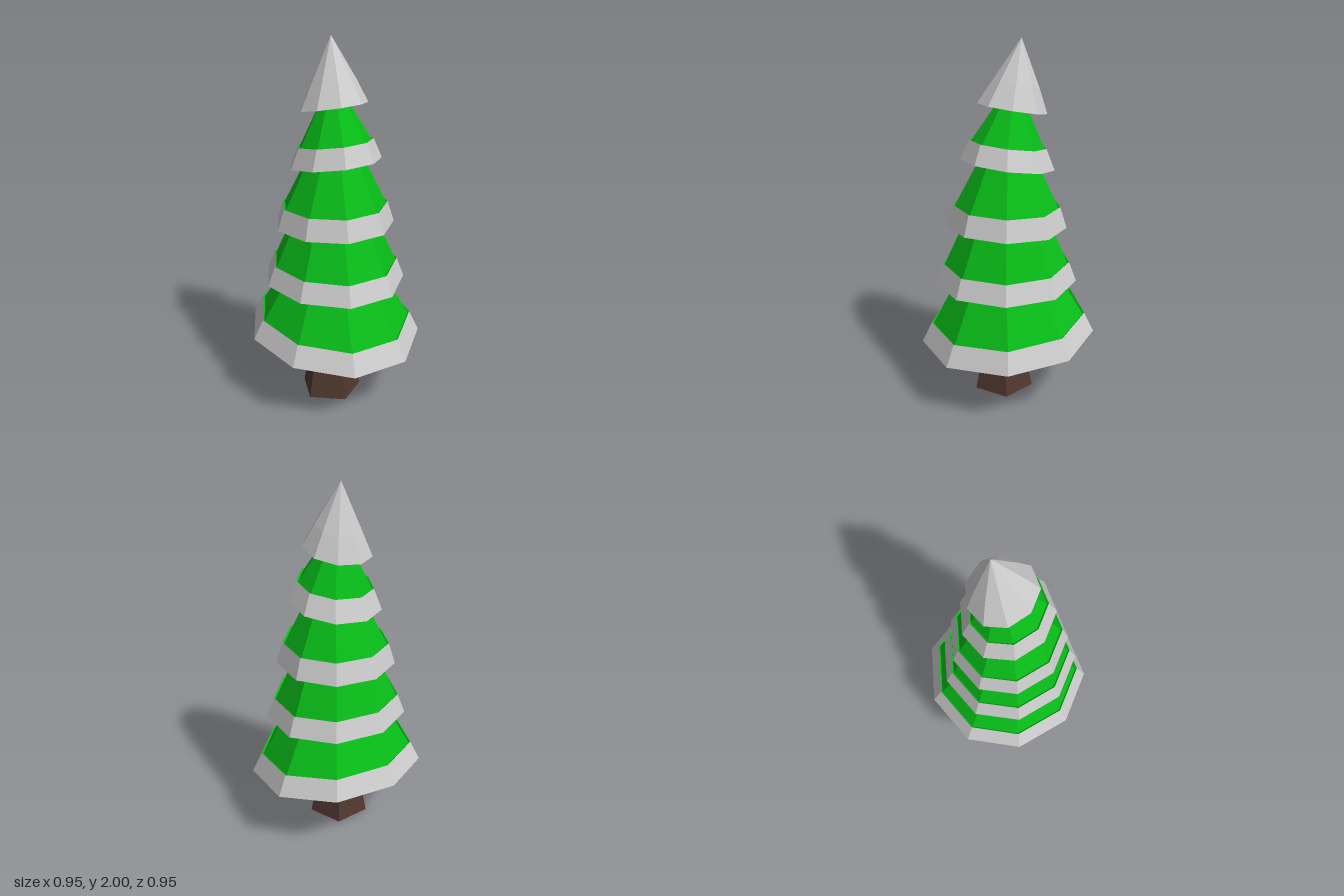
import * as THREE from 'three';

const material = (color) => new THREE.MeshStandardMaterial({ color, flatShading: true });

// One ring of a cross-section: a polygon on a slightly tilted plane, starting at the back
// and a little deeper on its +x side.
function ring(sides, [cx, cy, cz], r, [tx, tz] = [0, 0], skew = 0) {
  return Array.from({ length: sides }, (_, i) => {
    const a = (i / sides) * Math.PI * 2;
    const x = r * Math.sin(a);
    const z = -r * Math.cos(a) * (1 + skew * Math.sin(a));
    return new THREE.Vector3(cx + x, cy + tx * x + tz * z, cz + z);
  });
}

// Joins successive rings with flat facets; rings run outward and upward.
function loft(name, mat, ...strips) {
  const pos = [];
  const tri = (...pts) => pts.forEach((p) => pos.push(p.x, p.y, p.z));
  for (const rings of strips) {
    for (let k = 0; k + 1 < rings.length; k++) {
      const lo = rings[k], up = rings[k + 1], n = lo.length;
      for (let i = 0; i < n; i++) {
        const j = (i + 1) % n;
        if (up[i].distanceTo(up[j]) > 1e-6) tri(lo[i], up[i], up[j]);
        if (lo[i].distanceTo(lo[j]) > 1e-6) tri(lo[i], up[j], lo[j]);
      }
    }
  }
  const geo = new THREE.BufferGeometry();
  geo.setAttribute('position', new THREE.Float32BufferAttribute(pos, 3));
  geo.computeVertexNormals();
  const mesh = new THREE.Mesh(geo, mat);
  mesh.name = name;
  return mesh;
}

// Tiers from the bottom up: rim centre, rim radius, band height and top radius, plane tilt,
// and the foliage radius where the next tier begins.
const TIERS = [
  { c: [0, 0.365, 0.007], r: 0.482, h: 0.11, rTop: 0.428, tilt: [-0.074, -0.068], rNext: 0.29 },
  { c: [0, 0.69, 0.018], r: 0.388, h: 0.108, rTop: 0.347, tilt: [-0.02, -0.015], rNext: 0.242 },
  { c: [0, 1.007, 0.015], r: 0.325, h: 0.115, rTop: 0.289, tilt: [0.02, 0.015], rNext: 0.165 },
  { c: [0.003, 1.345, 0.009], r: 0.249, h: 0.11, rTop: 0.204, tilt: [0.12, 0.1], rNext: 0.09 },
  { c: [-0.008, 1.64, -0.013], r: 0.182, h: 0.125, rTop: 0.122, tilt: [0.155, 0.13] },
];
const APEX = [-0.025, 2, -0.055];

export function createModel() {
  const tree = new THREE.Group();
  tree.name = 'snowyTree';
  const green = material(0x08bb18);
  const snow = material(0xcccccc);
  const bark = material(0x503830);

  // Five-sided trunk with a narrow waist
  const pentagon = (y, r) => ring(5, [-0.017, y, 0.045], r);
  tree.add(loft('trunk', bark,
    [pentagon(0, 0), pentagon(0, 0.171), pentagon(0.21, 0.131), pentagon(0.36, 0.155), pentagon(0.43, 0.166)]));

  TIERS.forEach((t, i) => {
    const nine = (dy, r, [x, y, z] = t.c) => ring(9, [x, y + dy, z], r, t.tilt, 0.07);
    const tier = new THREE.Group();
    tier.name = `tier${i + 1}`;
    const rim = nine(0, t.r);

    // Shallow recessed underside
    const inset = t.r * 0.065;
    const underside = [nine(inset, 0), nine(inset, t.r - inset), rim];
    const next = TIERS[i + 1];
    if (next) {
      // Snow band, then a small lip down into the foliage cone
      const bandTop = nine(t.h, t.rTop);
      const rCone = t.rTop - 0.009;
      const slope = (rCone - t.rNext) / (next.c[1] - t.c[1] - t.h);
      tier.add(loft('foliage', green, underside,
        [bandTop, nine(t.h - 0.008, rCone), nine(0.06, t.rNext - slope * 0.06, next.c)]));
      tier.add(loft('snowBand', snow, [rim, bandTop]));
    } else {
      // Pointed snow cap
      const bandTop = nine(t.h, t.rTop, [-0.0125, t.c[1], -0.03]);
      tier.add(loft('capUnderside', green, underside));
      tier.add(loft('snowCap', snow, [rim, bandTop, ring(9, APEX, 0)]));
    }
    tree.add(tier);
  });
  return tree;
}
